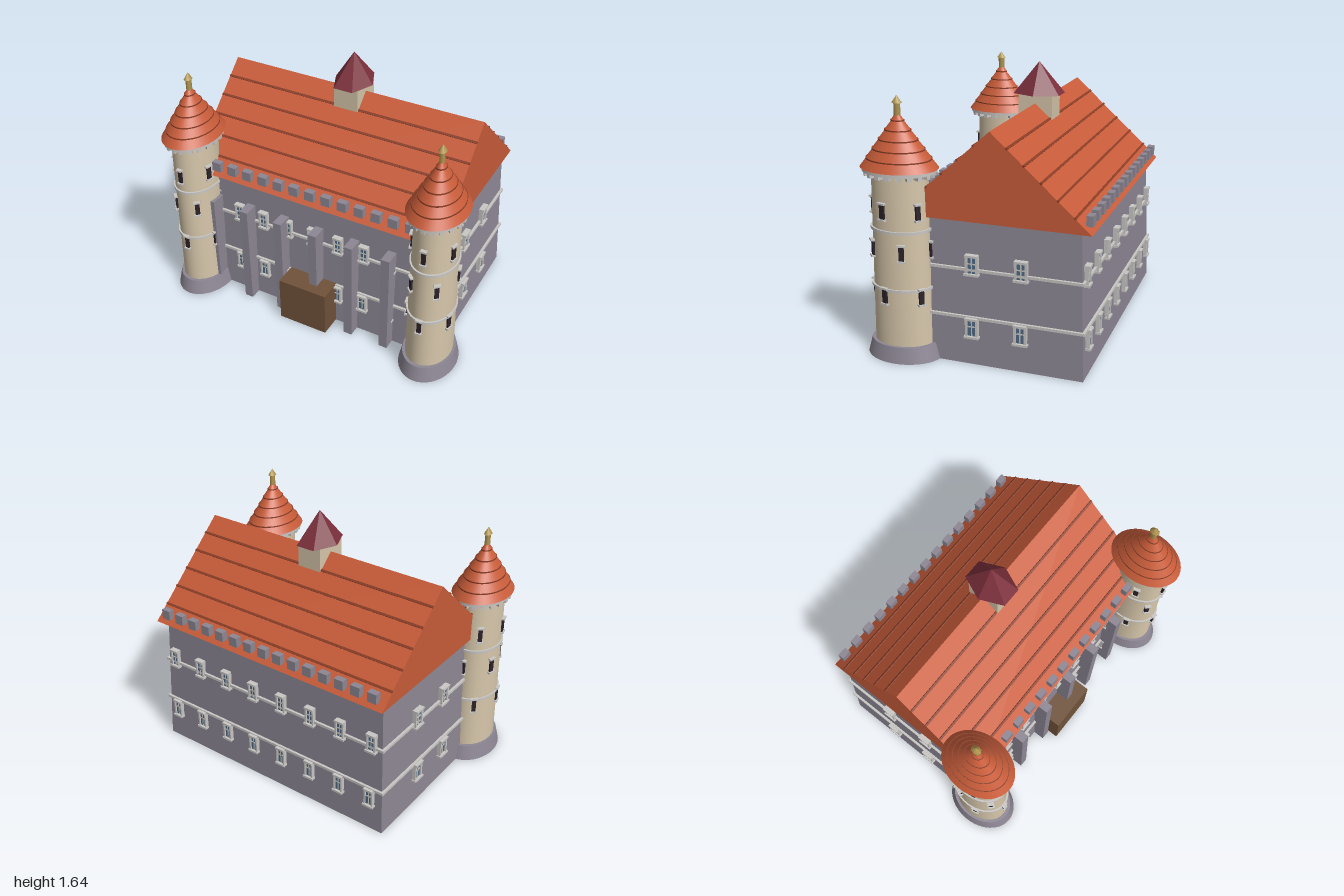
import * as THREE from 'three';

const mat = (name, color, extra = {}) => Object.assign(new THREE.MeshStandardMaterial({ color, ...extra }), { name });

export function createModel() {
  const stone = mat('grey stone', 0x8d8794);
  const cream = mat('cream plaster', 0xd6c6aa);
  const tile = mat('orange tile', 0xc85c39);
  const seam = mat('dark tile seam', 0x8a3d26);
  const trim = mat('pale trim', 0xc9c7c4);
  const maroon = mat('maroon slate', 0x7c303c, { flatShading: true });
  const gold = mat('gold', 0xb0954f);
  const wood = mat('door wood', 0x70523a);
  const dark = mat('dark opening', 0x2b222a);
  const glass = mat('blue glass', 0x506b84);

  const model = new THREE.Group();
  model.name = 'castle';
  const add = (parent, name, geo, material, x = 0, y = 0, z = 0) => {
    const m = new THREE.Mesh(geo, material);
    m.name = name;
    m.position.set(x, y, z);
    parent.add(m);
    return m;
  };
  const box = (parent, name, w, h, d, material, x, y, z) =>
    add(parent, name, new THREE.BoxGeometry(w, h, d), material, x, y, z);
  const group = (parent, name) => {
    const g = new THREE.Group();
    g.name = name;
    parent.add(g);
    return g;
  };

  // Main hall: walls lean inwards slightly towards the eaves
  const ZC = -0.105, EAVE = 0.87, RIDGE = 1.395, ROOF_D = 0.58;
  const halfX = y => 0.85 - 0.035 * y / EAVE;
  const halfZ = y => 0.545 - 0.03 * y / EAVE;
  const hall = group(model, 'hall');
  const wallGeo = new THREE.BoxGeometry(2, EAVE, 2);
  const p = wallGeo.attributes.position;
  for (let i = 0; i < p.count; i++) {
    const y = p.getY(i) + EAVE / 2;
    p.setXYZ(i, p.getX(i) * halfX(y), y, p.getZ(i) * halfZ(y));
  }
  wallGeo.computeVertexNormals();
  add(hall, 'walls', wallGeo, stone, 0, 0, ZC);

  // String courses around the hall
  for (const y of [0.29, 0.58])
    box(hall, 'stringCourse', 2 * halfX(y) + 0.03, 0.016, 2 * halfZ(y) + 0.03, trim, 0, y, ZC);

  // Gabled roof with horizontal tile seams
  const gable = new THREE.Shape([[-ROOF_D, EAVE], [ROOF_D, EAVE], [0, RIDGE]].map(a => new THREE.Vector2(...a)));
  const roofGeo = new THREE.ExtrudeGeometry(gable, { depth: 1.7, bevelEnabled: false });
  roofGeo.translate(0, 0, -0.85).rotateY(Math.PI / 2);
  add(hall, 'roof', roofGeo, tile, 0, 0, ZC);
  const slope = Math.atan2(RIDGE - EAVE, ROOF_D);
  for (const s of [-1, 1])
    for (let i = 1; i < 6; i++) {
      const f = i / 6;
      const b = box(hall, 'roofSeam', 1.7, 0.012, 0.014, seam, 0, RIDGE - (RIDGE - EAVE) * f, ZC + s * ROOF_D * f);
      b.rotation.x = s * slope;
    }

  // Stone blocks along both eaves
  for (const s of [-1, 1])
    for (let i = -7; i <= 7; i++)
      box(hall, 'eaveBlock', 0.06, 0.062, 0.04, stone, i * 0.1106, 0.935, ZC + s * 0.552);

  // Hall windows
  const hallWindow = (x, y, z, turn, w) => {
    const g = group(hall, 'hallWindow');
    g.position.set(x, y, z);
    g.rotation.y = turn;
    const h = 0.108;
    box(g, 'glass', w * 0.8, h, 0.008, glass, 0, 0, 0.012);
    for (const s of [-1, 1]) {
      box(g, 'jamb', w * 0.16, h, 0.03, trim, s * w * 0.37, 0, 0.01);
      box(g, 'ledge', w * (s < 0 ? 1.05 : 0.9), 0.013, 0.045, trim, 0, s * 0.056, 0.01);
    }
    box(g, 'mullion', w * 0.08, h, 0.014, trim, 0, 0, 0.012);
    box(g, 'transom', w * 0.7, 0.007, 0.014, trim, 0, 0.008, 0.012);
  };
  for (const y of [0.23, 0.61]) {
    for (let i = -3; i <= 3; i++) hallWindow(i * 0.178, y, ZC + halfZ(y), 0, 0.068);
    for (let i = 0; i < 8; i++) hallWindow((i - 3.5) * 0.217, y, ZC - halfZ(y), Math.PI, 0.068);
    for (const s of [-1, 1])
      for (const z of [0.014, -0.28]) hallWindow(s * halfX(y), y, z, s * Math.PI / 2, 0.085);
  }

  // Buttresses and entrance porch on the front
  for (let i = 0; i < 6; i++) box(model, 'buttress', 0.056, 0.69, 0.13, stone, -0.7 + i * 0.2475, 0.345, 0.45);
  box(model, 'entrance', 0.328, 0.3, 0.2, wood, 0, 0.15, 0.48);

  // Ridge turret
  const turret = group(model, 'ridgeTurret');
  turret.position.z = ZC;
  box(turret, 'turretBody', 0.162, 0.2, 0.214, cream, 0, 1.345, 0);
  const cap = new THREE.ConeGeometry(1, 0.195, 6);
  cap.rotateY(Math.PI / 6).scale(0.126, 1, 0.168);
  add(turret, 'turretRoof', cap, maroon, 0, 1.5425, 0);

  // Corner towers, round in plan then squeezed in x
  const drum = (parent, name, rTop, rBottom, y0, y1, material, n = 40) =>
    add(parent, name, new THREE.CylinderGeometry(rTop, rBottom, y1 - y0, n), material, 0, (y0 + y1) / 2, 0);
  const bodyR = y => 0.186 - 0.018 * y / 1.13;
  for (const side of [-1, 1]) {
    const t = group(model, side > 0 ? 'leftTower' : 'rightTower');
    t.position.set(side * 0.823, 0, 0.45);
    t.scale.x = 0.757;
    drum(t, 'towerFoot', 0.206, 0.232, 0, 0.095, stone);
    drum(t, 'towerBody', bodyR(1.13), bodyR(0), 0.02, 1.13, cream);
    for (const y of [0.44, 0.79])
      drum(t, 'towerBand', bodyR(y) + 0.012, bodyR(y) + 0.012, y - 0.008, y + 0.008, trim);
    drum(t, 'towerCornice', 0.221, 0.221, 1.122, 1.143, trim);
    for (let i = 0; i < 20; i++) {
      const a = i * Math.PI / 10;
      const d = box(t, 'corbel', 0.028, 0.026, 0.05, trim, Math.sin(a) * 0.189, 1.112, Math.cos(a) * 0.189);
      d.rotation.y = a;
    }

    // Tiered conical roof
    const R = 0.232, Y0 = 1.143, H = 0.322;
    for (let i = 0; i < 6; i++) {
      const y0 = Y0 + H * i / 6, y1 = Y0 + H * (i + 1) / 6;
      const r0 = R * (1 - i / 6), r1 = R * (1 - (i + 1) / 6);
      drum(t, 'roofTier', Math.max(r1 - 0.004, 0.001), r0, y0, y1, tile);
      if (i) drum(t, 'tierSeam', r0 + 0.002, r0 + 0.002, y0 - 0.004, y0 + 0.003, seam);
    }

    // Finial
    drum(t, 'finialStem', 0.021, 0.021, 1.44, 1.51, gold, 8);
    drum(t, 'finialTip', 0.001, 0.032, 1.508, 1.55, gold, 8);

    // Three staggered rows of slit windows, five to a row
    [[0.4, 0], [0.67, 0.5], [0.908, 0]].forEach(([y, shift]) => {
      for (let k = 0; k < 5; k++) {
        const g = group(t, 'towerWindow');
        g.rotation.y = side * (k + shift) * Math.PI * 0.4;
        const r = bodyR(y);
        box(g, 'slit', 0.032, 0.09, 0.025, dark, 0, y, r);
        for (const s of [-1, 1]) box(g, 'slitLedge', 0.05, 0.011, 0.04, trim, 0, y + s * 0.048, r + 0.002);
      }
    });
  }
  return model;
}
